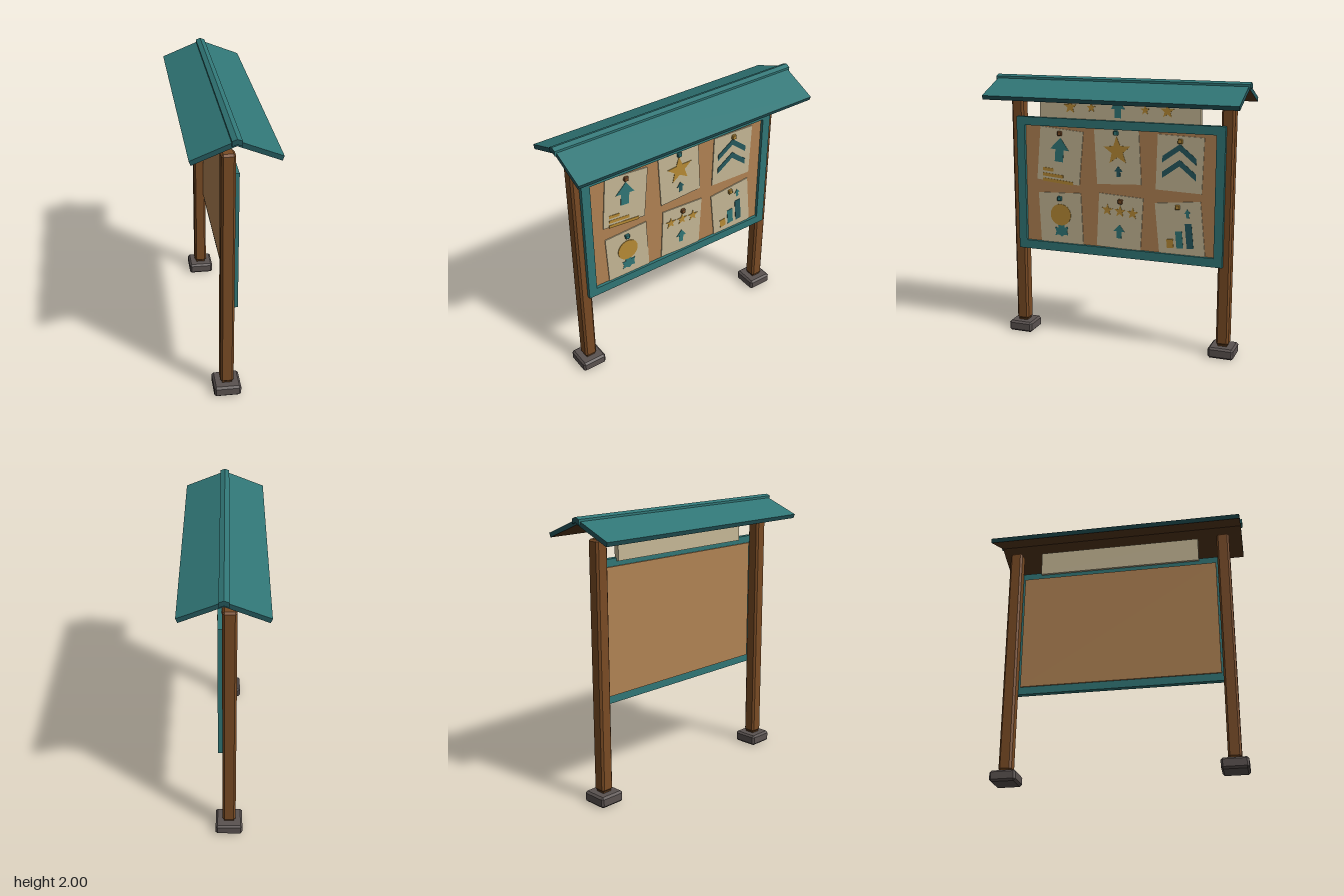
import * as THREE from 'three';
import { ConvexGeometry } from 'three/addons/geometries/ConvexGeometry.js';

const mat = (name, color) => {
  const m = new THREE.MeshStandardMaterial({ color });
  m.name = name;
  return m;
};

export function createModel() {
  const teal = mat('teal', 0x307676);
  const darkTeal = mat('dark teal', 0x25585d);
  const wood = mat('wood', 0x794b24);
  const darkWood = mat('dark wood', 0x55361c);
  const cork = mat('cork', 0xb08253);
  const paper = mat('paper', 0xc5b795);
  const gold = mat('gold', 0xb68a35);
  const stone = mat('stone', 0x5a5250);

  const model = new THREE.Group();
  model.name = 'noticeBoard';

  const add = (parent, name, geometry, material, x = 0, y = 0, z = 0, rot = 0) => {
    const mesh = new THREE.Mesh(geometry, material);
    mesh.name = name;
    mesh.position.set(x, y, z);
    mesh.rotation.z = rot;
    parent.add(mesh);
    return mesh;
  };
  const box = (w, h, d) => new THREE.BoxGeometry(w, h, d);

  // Box with every edge chamfered
  const chamferBox = (w, h, d, c) => {
    const pts = [];
    for (const x of [-1, 1]) for (const y of [-1, 1]) for (const z of [-1, 1]) {
      for (let k = 0; k < 3; k++) {
        pts.push(new THREE.Vector3(
          x * (w / 2 - (k === 0 ? 0 : c)),
          y * (h / 2 - (k === 1 ? 0 : c)),
          z * (d / 2 - (k === 2 ? 0 : c))));
      }
    }
    return new ConvexGeometry(pts);
  };

  // Posts on stone footings
  for (const side of [1, -1]) {
    const post = new THREE.Group();
    post.name = side > 0 ? 'frontPost' : 'rearPost';
    post.position.set(-0.035, 0, side * 0.803);
    add(post, 'footing', chamferBox(0.19, 0.08, 0.19, 0.014), stone, 0, 0.04);
    add(post, 'collar', box(0.07, 0.03, 0.07), darkWood, 0, 0.085);
    add(post, 'post', chamferBox(0.094, 1.76, 0.094, 0.014), wood, 0, 0.97);
    model.add(post);
  }

  // Gabled roof: teal top, dark edges, wooden underside
  const slope = 0.383, length = 0.313, thick = 0.032;
  for (const s of [1, -1]) {
    const outward = s > 0 ? [darkTeal, teal] : [teal, darkTeal];
    add(model, s > 0 ? 'leftRoofSlope' : 'rightRoofSlope', box(length, thick, 1.885),
      [...outward, teal, darkWood, darkTeal, darkTeal],
      s * (Math.cos(slope) * length / 2 - Math.sin(slope) * thick / 2),
      1.985 - Math.sin(slope) * length / 2 - Math.cos(slope) * thick / 2, 0, -s * slope);
  }
  const capShape = new THREE.Shape([
    [0, 2], [-0.033, 1.987], [-0.033, 1.952], [0, 1.965], [0.033, 1.952], [0.033, 1.987],
  ].map(p => new THREE.Vector2(...p)));
  add(model, 'ridgeCap', new THREE.ExtrudeGeometry(capShape, { depth: 1.91, bevelEnabled: false }),
    [darkTeal, teal], 0, 0, -0.955);

  // Board, built facing +z and then turned to face +x
  const board = new THREE.Group();
  board.name = 'board';
  board.rotation.y = Math.PI / 2;
  model.add(board);

  const rect = (C, w, y0, y1) => new C([[-w, y0], [w, y0], [w, y1], [-w, y1]].map(p => new THREE.Vector2(...p)));
  const frame = rect(THREE.Shape, 0.796, 0.685, 1.695);
  frame.holes.push(rect(THREE.Path, 0.732, 0.75, 1.633));
  add(board, 'frame', new THREE.ExtrudeGeometry(frame, { depth: 0.042, bevelEnabled: false }), teal);
  add(board, 'corkPanel', box(1.48, 0.9, 0.03), cork, 0, 1.192, 0.004);
  add(board, 'headerSign', box(1.225, 0.185, 0.036), paper, 0, 1.768, 0);

  // Flat decorations
  const plate = (name, points, material, x, y, rot = 0, z = 0.025) => add(board, name,
    new THREE.ExtrudeGeometry(new THREE.Shape(points.map(p => new THREE.Vector2(...p))),
      { depth: 0.004, bevelEnabled: false }), material, x, y, z, rot);
  const star = (x, y, r, rot, z) => plate('star', Array.from({ length: 10 }, (_, i) => {
    const a = Math.PI / 2 + i * Math.PI / 5, q = i % 2 ? r * 0.42 : r;
    return [Math.cos(a) * q, Math.sin(a) * q];
  }), gold, x, y, rot, z);
  const arrow = (x, y, w, h, material, rot, z) => plate('arrow', [
    [0, h / 2], [-w / 2, 0], [-w * 0.22, 0], [-w * 0.22, -h / 2],
    [w * 0.22, -h / 2], [w * 0.22, 0], [w / 2, 0],
  ], material, x, y, rot, z);
  const bar = (x, y, w, h, material, rot) => plate('bar',
    [[-w / 2, -h / 2], [w / 2, -h / 2], [w / 2, h / 2], [-w / 2, h / 2]], material, x, y, rot);

  // Header decorations
  for (const s of [-1, 1]) {
    star(s * 0.37, 1.78, 0.053, 0, 0.017);
    star(s * 0.205, 1.78, 0.037, 0, 0.017);
  }
  arrow(0, 1.78, 0.11, 0.13, teal, 0, 0.017);

  // Posters with pins: x, y, tilt, pin x, pin y, pin colour
  const tilts = [-0.085, 0.055, -0.03, 0.045, -0.05, 0.1];
  [
    [-0.455, 1.415, -0.45, 1.582, wood],
    [0, 1.433, -0.01, 1.608, teal],
    [0.467, 1.412, 0.472, 1.576, gold],
    [-0.453, 0.935, -0.459, 1.092, teal],
    [0.016, 0.95, 0.024, 1.107, wood],
    [0.475, 0.935, 0.459, 1.1, gold],
  ].forEach(([x, y, px, py, color], i) => {
    add(board, 'poster', box(0.342, 0.4, 0.008), paper, x, y, 0.022, tilts[i]);
    add(board, 'pin', chamferBox(0.034, 0.034, 0.022, 0.004), color, px, py, 0.036, tilts[i]);
  });

  // Arrow and text lines
  arrow(-0.456, 1.46, 0.15, 0.18, teal, tilts[0]);
  bar(-0.55, 1.308, 0.085, 0.024, gold, tilts[0]);
  bar(-0.512, 1.264, 0.165, 0.024, gold, tilts[0]);
  bar(-0.474, 1.221, 0.245, 0.024, gold, tilts[0]);

  // Large star
  star(-0.003, 1.477, 0.108, tilts[1]);
  arrow(0.006, 1.327, 0.065, 0.08, darkTeal, tilts[1]);

  // Chevrons
  for (const y of [1.555, 1.443]) {
    plate('chevron', [[0, 0], [-0.125, -0.095], [-0.125, -0.142], [0, -0.047], [0.125, -0.142], [0.125, -0.095]],
      darkTeal, 0.467, y, tilts[2]);
  }

  // Rosette
  const disc = add(board, 'rosette', new THREE.CylinderGeometry(0.082, 0.082, 0.004, 24), gold, -0.454, 0.967, 0.0285);
  disc.rotation.x = Math.PI / 2;
  plate('rosetteRibbon', [
    [-0.025, 0.05], [-0.025, 0.02], [-0.052, 0.02], [-0.042, -0.01], [-0.052, -0.04], [-0.02, -0.035],
    [0, -0.05], [0.025, -0.035], [0.052, -0.04], [0.045, -0.01], [0.055, 0.025], [0.025, 0.022], [0.025, 0.05],
  ], teal, -0.45, 0.848, tilts[3], 0.0245);

  // Row of stars
  [[-0.08, 1.036], [0.019, 1.031], [0.117, 1.024]].forEach(([x, y]) => star(x, y, 0.046, tilts[4]));
  arrow(0.013, 0.88, 0.085, 0.105, teal, tilts[4]);

  // Bar chart
  bar(0.403, 0.825, 0.05, 0.066, gold, tilts[5]);
  bar(0.472, 0.861, 0.05, 0.125, teal, tilts[5]);
  bar(0.546, 0.893, 0.05, 0.185, darkTeal, tilts[5]);
  arrow(0.531, 1.057, 0.048, 0.065, teal, tilts[5]);

  return model;
}
